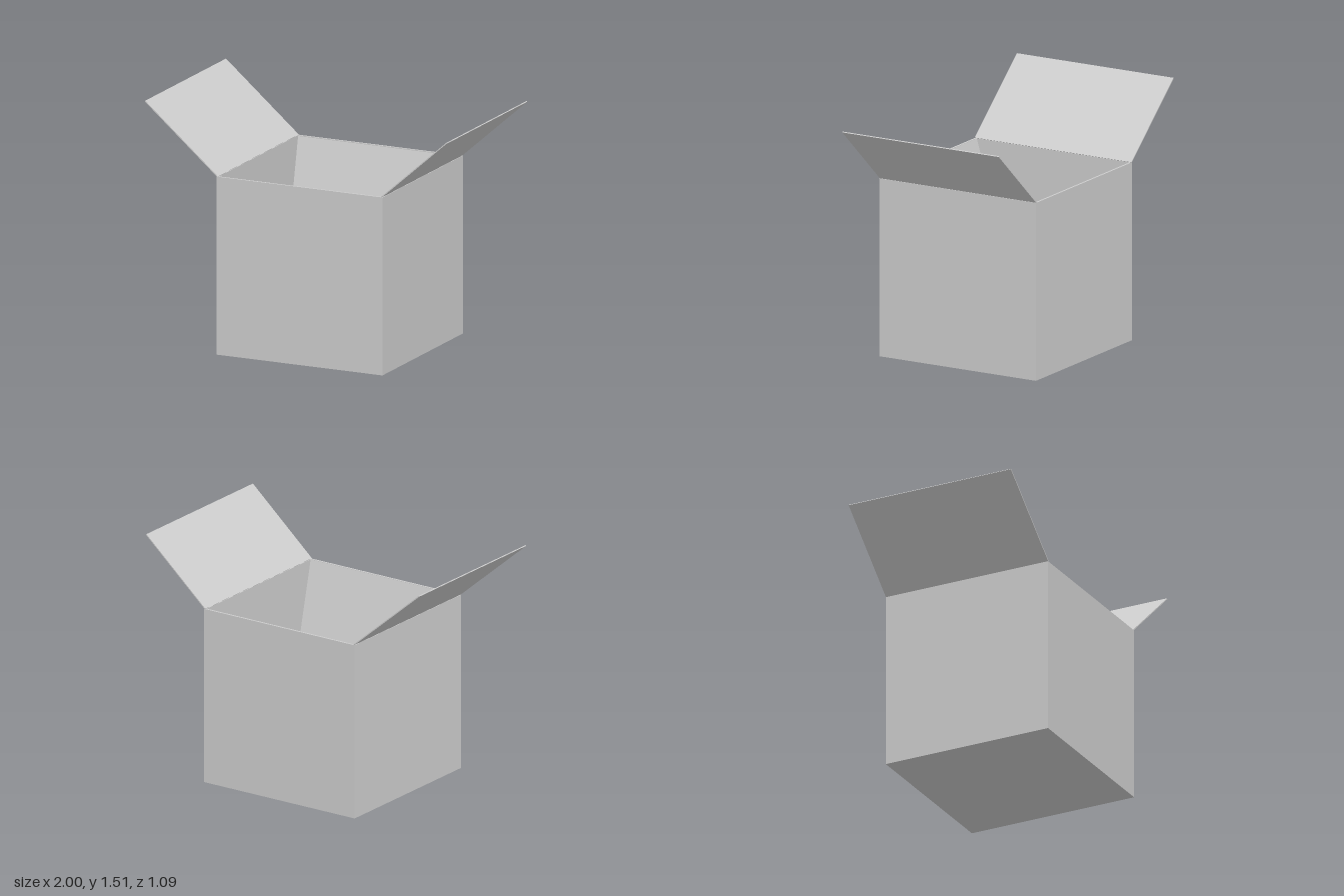
import * as THREE from 'three';

const WALL = 0.012;            // board thickness
const X0 = -0.525, X1 = 0.575; // outer sides
const Z = 0.545;               // half depth
const H = 1.095;               // rim height

export function createModel() {
  const group = new THREE.Group();
  const cardboard = new THREE.MeshStandardMaterial({ color: 0xcccccc });
  cardboard.name = 'grey cardboard';

  const add = (name, geometry) => {
    const mesh = new THREE.Mesh(geometry, cardboard);
    mesh.name = name;
    group.add(mesh);
    return mesh;
  };
  const board = (name, w, h, d, x, y, z) =>
    add(name, new THREE.BoxGeometry(w, h, d)).position.set(x, y, z);

  // Floor and four walls
  const cx = (X0 + X1) / 2, w = X1 - X0;
  board('floor', w, WALL, 2 * Z, cx, WALL / 2, 0);
  const wallH = H - WALL, wallY = WALL + wallH / 2;
  for (const [side, s] of [['front', 1], ['back', -1]])
    board(side + 'Wall', w, wallH, WALL, cx, wallY, s * (Z - WALL / 2));
  board('rightWall', WALL, wallH, 2 * (Z - WALL), X0 + WALL / 2, wallY, 0);
  board('leftWall', WALL, wallH, 2 * (Z - WALL), X1 - WALL / 2, wallY, 0);

  // Raised side flaps: thin boards sloping outward from the rim
  const sideFlap = (name, hingeX, tipX, tipY) => {
    const dx = tipX - hingeX, dy = tipY - H, t = 0.006;
    const length = Math.hypot(dx, dy);
    const mesh = add(name, new THREE.BoxGeometry(length, t, 2 * Z));
    mesh.position.set((hingeX + tipX) / 2, (H + tipY) / 2, 0);
    mesh.rotation.z = Math.atan2(dy, dx);
  };
  sideFlap('rightFlap', X0 + 0.008, -0.998, 1.505);
  sideFlap('leftFlap', X1 - 0.008, 0.998, 1.477);

  // Front and back flaps folded down into the box, narrowing to the free edge
  const innerFlap = (name, s, hingeZ, tipZ) => {
    const drop = 0.56, run = hingeZ - tipZ, t = 0.006;
    const length = Math.hypot(drop, run);
    const shape = new THREE.Shape([
      new THREE.Vector2(X0 + WALL, 0),
      new THREE.Vector2(X0 + 0.032, -length),
      new THREE.Vector2(X1 - 0.036, -length),
      new THREE.Vector2(X1 - WALL, 0),
    ]);
    const geometry = new THREE.ExtrudeGeometry(shape, { depth: t, bevelEnabled: false });
    geometry.translate(0, 0, -t / 2);
    const mesh = add(name, geometry);
    mesh.position.set(0, H - 0.002, s * hingeZ);
    mesh.rotation.x = s * Math.atan2(run, drop);
  };
  innerFlap('frontFlap', 1, 0.532, 0.357);
  innerFlap('backFlap', -1, 0.537, 0.372);

  return group;
}
